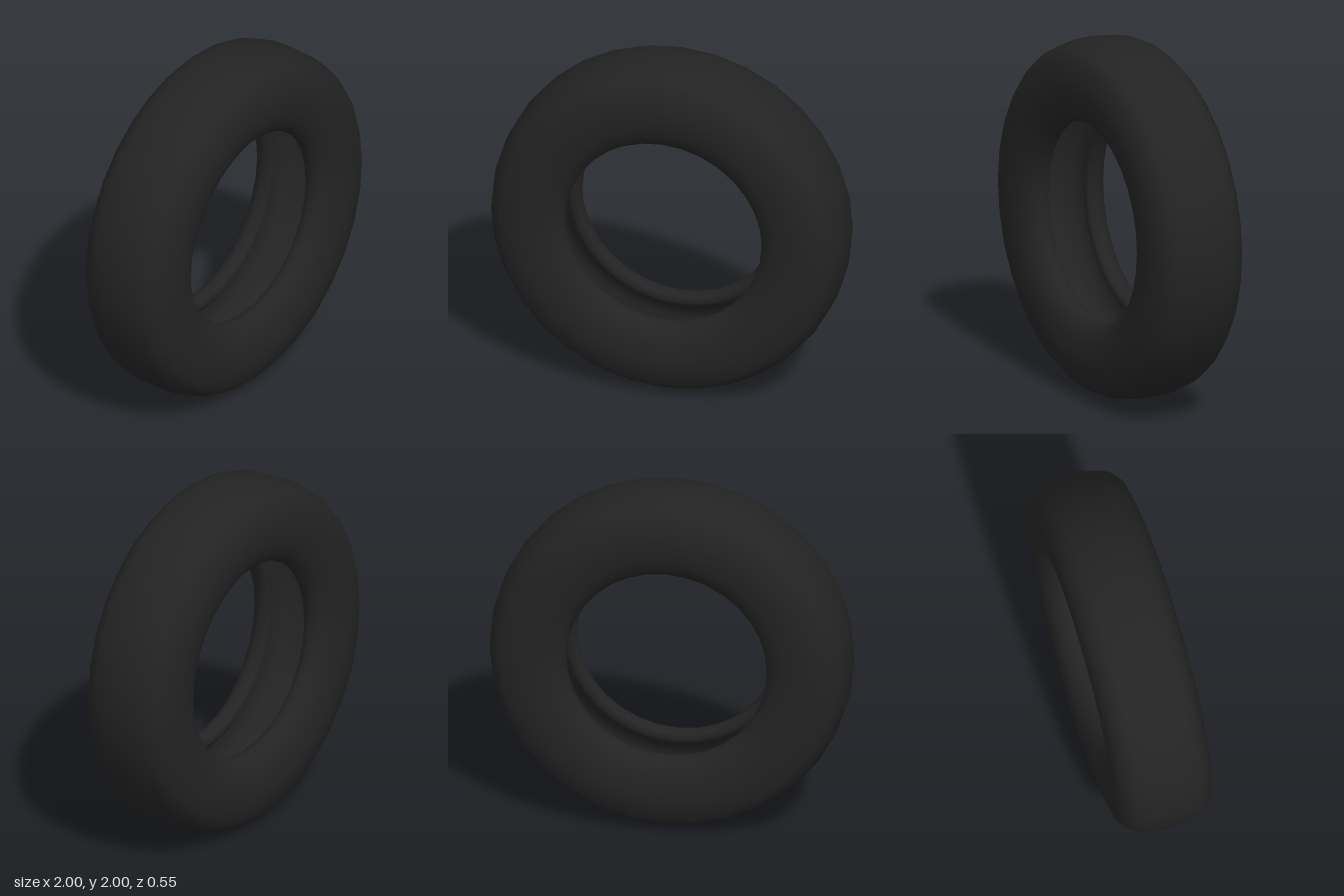
import * as THREE from 'three';

export function createModel() {
  const model = new THREE.Group();
  model.name = 'tire';
  const rubber = new THREE.MeshStandardMaterial({ color: 0x232323 });
  rubber.name = 'black rubber';

  // Half cross-section as [radius, half width]: cavity, bead lip, sidewall, shoulder, tread
  const half = [
    [0.92, 0], [0.91, 0.12], [0.86, 0.2], [0.76, 0.235], [0.68, 0.2],
    [0.63, 0.13], [0.6, 0.11], [0.57, 0.125], [0.555, 0.165], [0.57, 0.205],
    [0.61, 0.24], [0.67, 0.263], [0.75, 0.274], [0.82, 0.271], [0.91, 0.25],
    [0.955, 0.208], [0.98, 0.16], [0.997, 0.075], [1, 0],
  ];

  // Mirror it into a closed section, running outward on the back and inward on the front
  const section = [
    ...half.map(([r, w]) => new THREE.Vector2(r, -w)),
    ...half.slice(0, -1).reverse().map(([r, w]) => new THREE.Vector2(r, w)),
  ];

  // Hollow tire casing, axle along z
  const casing = new THREE.Mesh(new THREE.LatheGeometry(section, 32), rubber);
  casing.name = 'tireCasing';
  casing.rotation.x = Math.PI / 2;
  casing.position.y = 1;
  model.add(casing);
  return model;
}
